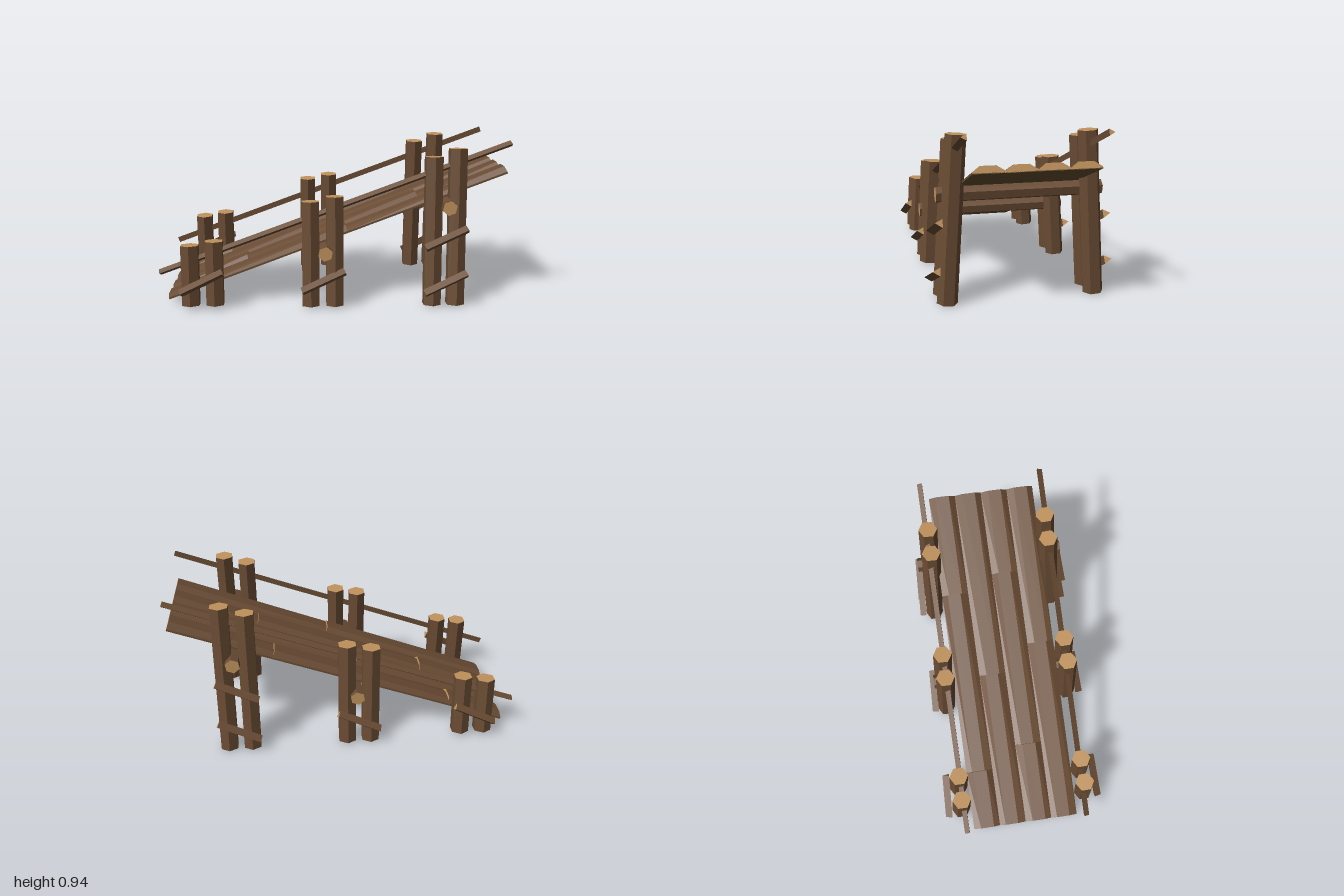
import * as THREE from 'three';

const mat = (color) => new THREE.MeshStandardMaterial({ color, flatShading: true });
const bark = mat(0x6a4c34);
const cut = mat(0xc0925c);
const under = mat(0x66502f);
const v = (x, y, z) => new THREE.Vector3(x, y, z);

// Faceted log between two points; its first corner points towards "out"
function log(name, radius, sides, from, to, out, startMat = bark) {
  const axis = to.clone().sub(from);
  const length = axis.length();
  axis.normalize();
  const zAxis = out.clone().addScaledVector(axis, -out.dot(axis)).normalize();
  const xAxis = axis.clone().cross(zAxis);
  const geo = new THREE.CylinderGeometry(radius, radius, length, sides);
  geo.applyMatrix4(new THREE.Matrix4().makeBasis(xAxis, axis, zAxis));
  const mesh = new THREE.Mesh(geo, [bark, cut, startMat]);
  mesh.name = name;
  mesh.position.copy(from).add(to).multiplyScalar(0.5);
  return mesh;
}

// Plank with a bevelled top, running along +x and rising slightly to its cut end
function plank(u0, u1, z, width, inset0, inset1, h0, h1) {
  const w = width / 2;
  const shape = new THREE.Shape([
    [-w, 0], [w, 0], [w, 0.01], [w - inset0, h1], [-w + inset1, h1], [-w, 0.01],
  ].map(([a, b]) => new THREE.Vector2(a, b)));
  const geo = new THREE.ExtrudeGeometry(shape, { depth: u1 - u0, bevelEnabled: false });
  const pos = geo.attributes.position;
  for (let i = 0; i < pos.count; i++) {
    if (pos.getZ(i) < 1e-6 && pos.getY(i) > 0.02) pos.setY(i, h0);
  }
  // Only the far cap shows cut wood
  geo.clearGroups();
  geo.addGroup(0, 12, 0);
  geo.addGroup(12, 12, 1);
  geo.addGroup(24, pos.count - 24, 0);
  geo.rotateY(Math.PI / 2);
  geo.translate(u0, 0, z);
  geo.computeVertexNormals();
  const mesh = new THREE.Mesh(geo, [bark, cut]);
  mesh.name = 'plank';
  return mesh;
}

function createDeck() {
  const deck = new THREE.Group();
  deck.name = 'deck';
  const angle = Math.atan2(0.722, 1.948);
  const half = 1.038;
  const cx = 0.019;
  deck.position.set(cx, 0.391, 0);
  deck.rotation.z = angle;

  // Flat underside
  const base = new THREE.Mesh(new THREE.BoxGeometry(half * 2, 0.004, 0.65), under);
  base.name = 'deckUnderside';
  base.position.y = 0.001;
  deck.add(base);

  // Four rows of planks, split at these x positions, from back to front
  const rows = [[-0.62, 0.42], [-0.07], [-0.5, 0.51], [0.08]];
  const width = 0.1625;
  rows.forEach((breaks, r) => {
    const stops = [-half, ...breaks.map((x) => (x - cx) / Math.cos(angle)), half];
    for (let i = 0; i < stops.length - 1; i++) {
      const flip = (r + i) % 2;
      deck.add(plank(stops[i], stops[i + 1], (r - 1.5) * width, width,
        flip ? 0.036 : 0.044, flip ? 0.048 : 0.038, 0.024, 0.038));
    }
  });
  return deck;
}

export function createModel() {
  const model = new THREE.Group();
  model.name = 'woodenRamp';
  model.add(createDeck());

  // Posts: x, bottom y, top y, bottom z, top z
  const posts = [
    [-0.82, 0.02, 0.365, 0.39, 0.368], [-0.683, 0.02, 0.388, 0.39, 0.368],
    [-0.137, 0.01, 0.61, 0.403, 0.366], [0, 0.01, 0.637, 0.403, 0.366],
    [0.56, 0.004, 0.855, 0.404, 0.35], [0.695, 0.004, 0.9, 0.404, 0.35],
  ];
  // Braces: start x, y, z and end x, y, z
  const braces = [
    [-0.87, 0.11, 0.46, -0.633, 0.222, 0.446],
    [-0.187, 0.11, 0.465, 0.056, 0.219, 0.452],
    [0.51, 0.087, 0.472, 0.75, 0.198, 0.459],
    [0.51, 0.35, 0.457, 0.748, 0.455, 0.443],
  ];
  for (const s of [1, -1]) {
    const side = new THREE.Group();
    side.name = s > 0 ? 'frontSide' : 'backSide';
    for (const [x, y0, y1, z0, z1] of posts) {
      side.add(log('post', 0.056, 6, v(x, y0, s * z0), v(x, y1, s * z1), v(0, 0, s)));
    }
    for (const [x0, y0, z0, x1, y1, z1] of braces) {
      side.add(log('brace', 0.027, 3, v(x0, y0, s * z0), v(x1, y1, s * z1), v(0, 0.06, s)));
    }
    side.add(log('handrail', 0.02, 3, v(-0.994, 0.204, s * 0.36), v(0.994, 0.928, s * 0.36), v(0, 0, s)));
    model.add(side);
  }

  // Cross beams carrying the deck
  for (const [x, y] of [[-0.055, 0.323], [0.64, 0.578]]) {
    model.add(log('crossBeam', 0.043, 6, v(x, y, -0.45), v(x, y, 0.45), v(0.94, 0.342, 0), cut));
  }
  return model;
}
